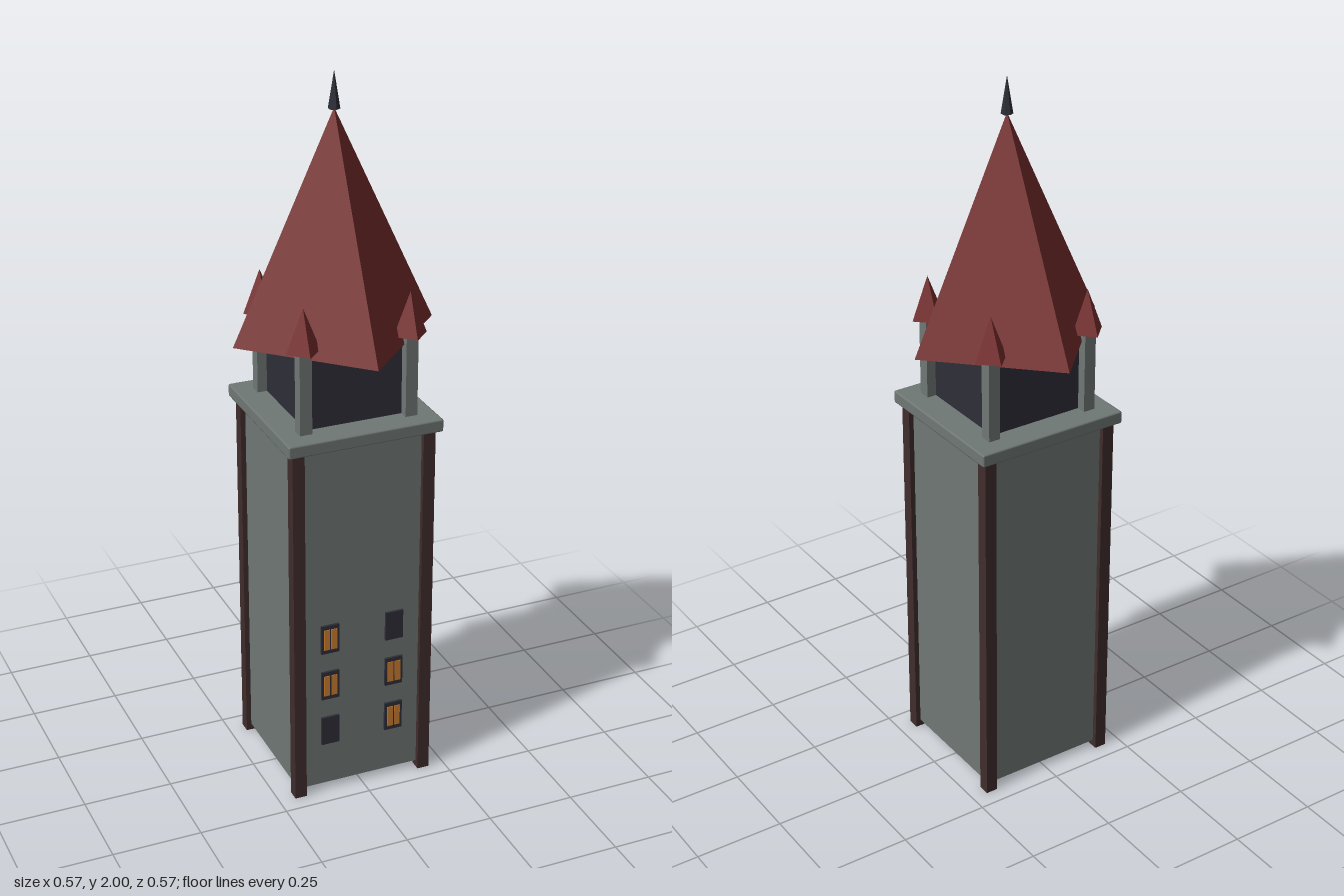
import * as THREE from 'three';
import { RoundedBoxGeometry } from 'three/addons/geometries/RoundedBoxGeometry.js';

const mat = (name, color) => {
  const m = new THREE.MeshStandardMaterial({ color });
  m.name = name;
  return m;
};

export function createModel() {
  const tower = new THREE.Group();
  tower.name = 'tower';

  const stone = mat('grey stone', 0x707875);
  const roofRed = mat('roof red', 0x7a2e2e);
  const wood = mat('dark brown wood', 0x412d2d);
  const dark = mat('dark slate', 0x2e2e38);
  const glow = mat('lit amber', 0xd08030);

  const add = (name, geometry, material, x, y, z, parent = tower) => {
    const mesh = new THREE.Mesh(geometry, material);
    mesh.name = name;
    mesh.position.set(x, y, z);
    parent.add(mesh);
    return mesh;
  };
  const box = (name, w, h, d, material, x, y, z, parent) =>
    add(name, new THREE.BoxGeometry(w, h, d), material, x, y, z, parent);
  // Pyramid with its base at y
  const spire = (name, radius, height, sides, material, x, y, z) => {
    const g = new THREE.ConeGeometry(radius, height, sides).toNonIndexed();
    g.computeVertexNormals();
    return add(name, g, material, x, y + height / 2, z);
  };

  // Shaft, ledge and belfry
  box('shaft', 0.38, 1.04, 0.38, stone, 0, 0.54, 0);
  add('ledge', new RoundedBoxGeometry(0.44, 0.036, 0.44, 1, 0.005), stone, 0, 1.073, 0);
  box('belfry', 0.28, 0.206, 0.28, dark, 0, 1.19, 0);

  // Corner posts, columns and their small spires
  for (const sx of [-1, 1]) {
    for (const sz of [-1, 1]) {
      box('cornerPost', 0.034, 1.056, 0.034, wood, sx * 0.187, 0.528, sz * 0.187);
      box('column', 0.034, 0.235, 0.034, stone, sx * 0.15, 1.2025, sz * 0.15);
      spire('smallSpire', 0.048, 0.12, 4, roofRed, sx * 0.15, 1.318, sz * 0.15);
    }
  }

  // Main roof and finial
  spire('roof', 0.285, 0.61, 4, roofRed, 0, 1.293, 0);
  spire('finial', 0.016, 0.1, 6, dark, 0, 1.9, 0);

  // Front windows, bottom row first: [left lit, right lit]
  const rows = [[false, true], [true, true], [true, false]];
  rows.forEach((row, i) => row.forEach((lit, j) => {
    const win = new THREE.Group();
    win.name = lit ? 'litWindow' : 'darkWindow';
    win.position.set(j ? 0.095 : -0.095, 0.193 + i * 0.145, 0.19);
    tower.add(win);
    box('frame', 0.052, 0.086, 0.008, dark, 0, 0, 0.003, win);
    if (lit) {
      for (const s of [-1, 1]) box('pane', 0.017, 0.062, 0.003, glow, s * 0.0105, 0, 0.0075, win);
    }
  }));

  return tower;
}
